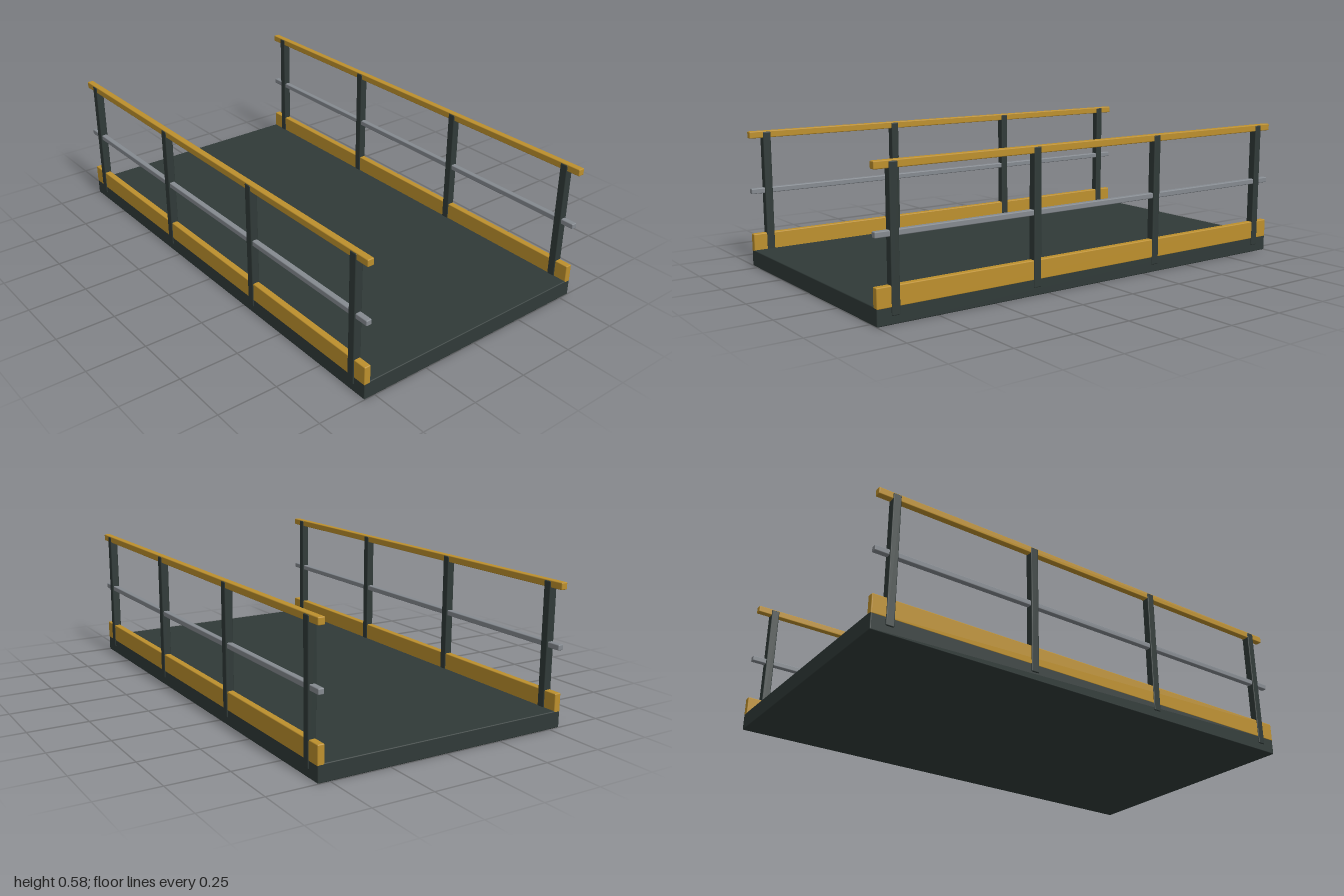
import * as THREE from 'three';
import { RoundedBoxGeometry } from 'three/addons/geometries/RoundedBoxGeometry.js';

const makeMaterial = (name, color) => {
  const material = new THREE.MeshStandardMaterial({ color });
  material.name = name;
  return material;
};

export function createModel() {
  const darkSteel = makeMaterial('dark steel', 0x303a38);
  const safetyYellow = makeMaterial('safety yellow', 0xbd902d);
  const greySteel = makeMaterial('grey steel', 0x858a90);

  // Softly bevelled bar centred on (x, z), spanning y0 to y1
  const bar = (parent, name, material, width, y0, y1, depth, x = 0, z = 0, bevel = 0.004) => {
    const mesh = new THREE.Mesh(new RoundedBoxGeometry(width, y1 - y0, depth, 2, bevel), material);
    mesh.name = name;
    mesh.position.set(x, (y0 + y1) / 2, z);
    parent.add(mesh);
  };

  const model = new THREE.Group();
  model.name = 'walkway';

  // Solid floor slab
  bar(model, 'deck', darkSteel, 1.098, 0, 0.07, 2);

  // A guard rail along each side
  for (const side of [-1, 1]) {
    const railing = new THREE.Group();
    railing.name = side > 0 ? 'leftRailing' : 'rightRailing';
    railing.position.x = side * 0.536;
    model.add(railing);

    bar(railing, 'toeBoard', safetyYellow, 0.028, 0.062, 0.14, 2);
    bar(railing, 'midRail', greySteel, 0.024, 0.312, 0.335, 2);
    bar(railing, 'topRail', safetyYellow, 0.028, 0.548, 0.577, 2);

    // Posts stand slightly proud of the rails on both faces
    for (const z of [-0.925, -0.308, 0.308, 0.925]) {
      bar(railing, 'post', darkSteel, 0.034, 0.032, 0.573, 0.034, 0, z);
    }
  }

  return model;
}
